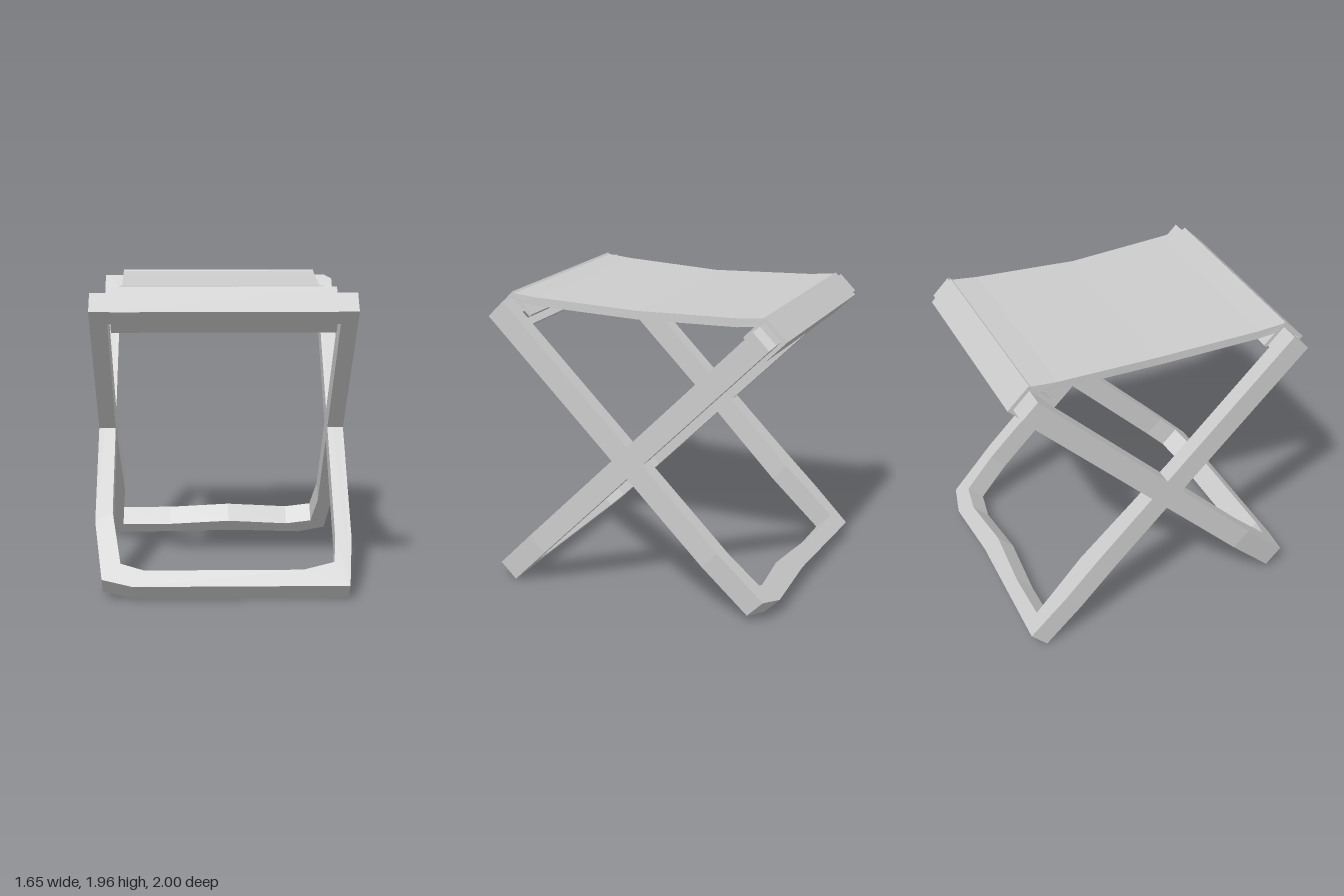
import * as THREE from 'three';

const material = new THREE.MeshStandardMaterial({ color: 0xcccccc, flatShading: true });
const PIVOT = 0.97; // height where the two frames cross

const toPoints = list => list.map(([x, y]) => new THREE.Vector2(x, y));

// Extrude an outline symmetrically about its own plane
function extrude(outline, depth, hole) {
  const shape = new THREE.Shape(toPoints(outline));
  if (hole) shape.holes.push(new THREE.Path(toPoints(hole)));
  const geometry = new THREE.ExtrudeGeometry(shape, { depth, bevelEnabled: false });
  return geometry.translate(0, 0, -depth / 2);
}

function addMesh(parent, name, geometry) {
  const mesh = new THREE.Mesh(geometry, material);
  mesh.name = name;
  parent.add(mesh);
  return mesh;
}

// Fabric sleeve folded around the top bar of a frame: a U section run along x
function sleeveGeometry() {
  const inner = 0.075, outer = 0.1, low = 1.12, barTop = 1.29, top = 1.315;
  const section = [
    [-outer, low], [-inner, low], [-inner, barTop], [inner, barTop],
    [inner, low], [outer, low], [outer, top], [-outer, top],
  ];
  return extrude(section, 1.38).rotateY(-Math.PI / 2);
}

// One tilted leg frame with its sleeve
function makeFrame(name, tilt, outline, opening) {
  const group = new THREE.Group();
  group.name = name;
  addMesh(group, 'legFrame', extrude(outline, 0.15, opening));
  addMesh(group, 'fabricSleeve', sleeveGeometry());
  group.rotation.x = tilt;
  group.position.y = PIVOT;
  return group;
}

// Sagging seat: a box whose cross-sections follow the stations [z, y, half width]
function seatGeometry() {
  const stations = [
    [-0.86, 1.963, 0.69], [-0.68, 1.945, 0.685], [0, 1.92, 0.66],
    [0.68, 1.945, 0.685], [0.86, 1.96, 0.69],
  ];
  const thickness = 0.055;
  const count = stations.length - 1;
  const geometry = new THREE.BoxGeometry(2, 1, count, 1, 1, count);
  const p = geometry.attributes.position;
  for (let i = 0; i < p.count; i++) {
    const [z, y, half] = stations[Math.round(p.getZ(i) + count / 2)];
    const under = p.getY(i) < 0;
    const zEnd = under ? THREE.MathUtils.clamp(z, -0.81, 0.81) : z;
    p.setXYZ(i, p.getX(i) * half, under ? y - thickness : y, zEnd);
  }
  geometry.computeVertexNormals();
  return geometry;
}

export function createModel() {
  const stool = new THREE.Group();
  stool.name = 'foldingStool';

  // Frame with its foot at the front and its top bar at the back
  stool.add(makeFrame('frontFootFrame', -Math.PI / 4,
    [[-0.82, 1.287], [-0.82, -0.81], [-0.765, -1.235], [-0.57, -1.287],
      [0.79, -1.287], [0.82, -0.94], [0.82, 1.25], [0.77, 1.287]],
    [[-0.71, 1.17], [-0.71, -0.74], [-0.65, -1.12], [-0.5, -1.17],
      [0.5, -1.17], [0.7, -1.115], [0.715, -0.94], [0.715, 1.17]]));

  // Frame with its foot at the back and its top bar at the front
  stool.add(makeFrame('backFootFrame', Math.PI / 4,
    [[-0.82, 1.287], [-0.82, -0.6], [-0.83, -0.95], [-0.82, -1.287],
      [0.1, -1.26], [0.6, -1.287], [0.785, -1.22], [0.82, -0.8], [0.82, 1.287]],
    [[-0.71, 1.17], [-0.71, 0.15], [-0.68, -0.7], [-0.71, -1.17], [-0.36, -1.17],
      [0.07, -1.13], [0.5, -1.17], [0.68, -1.13], [0.715, -0.85], [0.715, 1.17]]));

  addMesh(stool, 'seat', seatGeometry());
  return stool;
}
